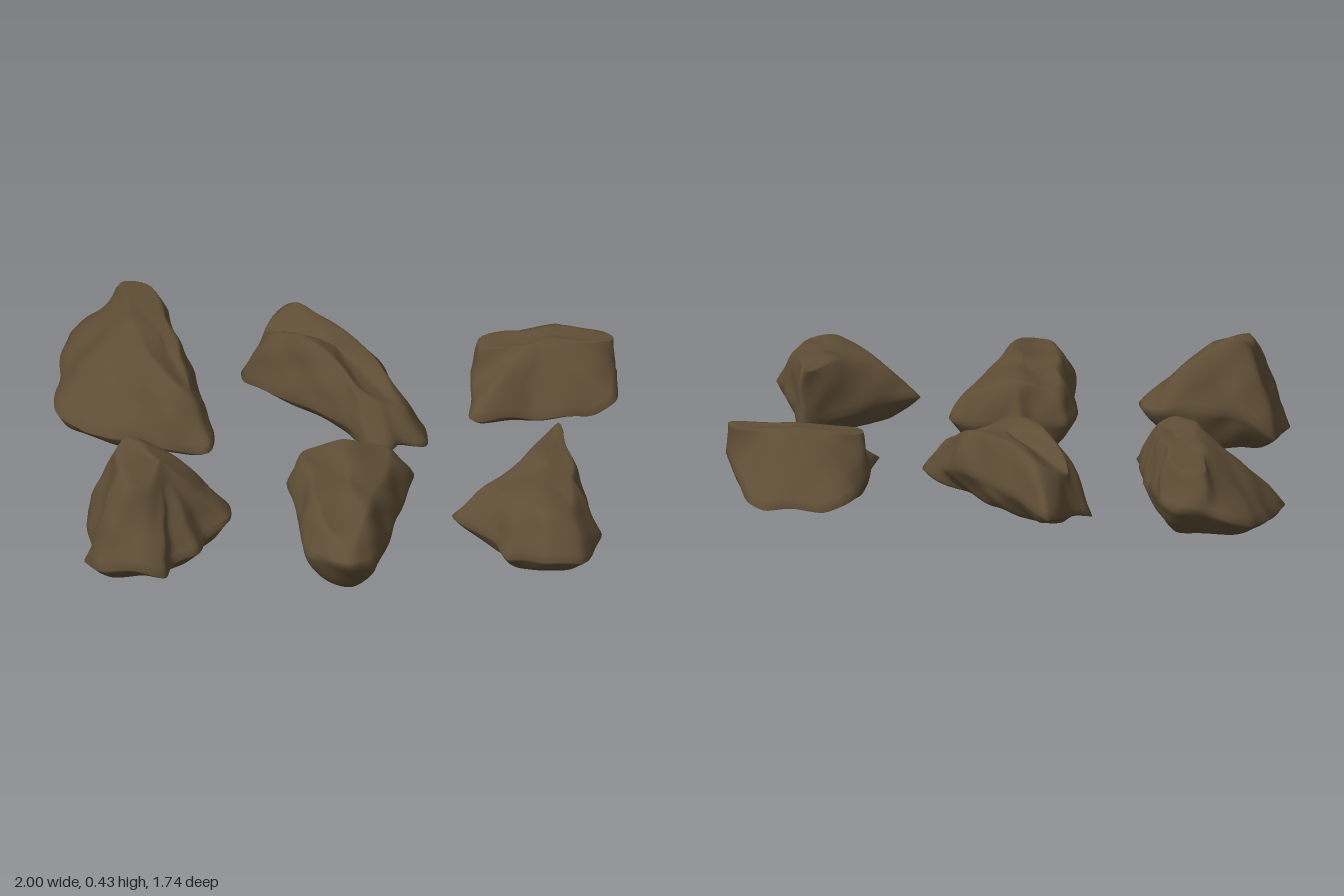
import * as THREE from 'three';

const stone = new THREE.MeshStandardMaterial({ color: 0x5f4e36 });
stone.name = 'brown stone';

const SIDES = 120, SLOPE = 10, CAP = 5;
const vec = ([x, y, z]) => new THREE.Vector3(x, y, z);
const smoothLoop = (points, tension) => new THREE.CatmullRomCurve3(points.map(vec), true, 'catmullrom', tension);

// Middle of a facet loop, pushed halfway out to its most extreme height
function middle(poly, extreme) {
  const c = new THREE.Vector3();
  poly.forEach((p) => c.add(p));
  c.divideScalar(poly.length);
  c.y = (c.y + extreme(...poly.map((p) => p.y))) / 2;
  return c;
}

// Where the ray from the loop's middle towards p (seen from above) meets its edge
function edgeTowards(poly, c, p) {
  const dx = p.x - c.x, dz = p.z - c.z;
  for (let i = 0; i < poly.length; i++) {
    const a = poly[i], b = poly[(i + 1) % poly.length];
    const sa = dx * (a.z - c.z) - dz * (a.x - c.x);
    const sb = dx * (b.z - c.z) - dz * (b.x - c.x);
    if (sa <= 0 && sb > 0) return a.clone().lerp(b, sa / (sa - sb));
  }
  return c.clone();
}

// Weathered lumps: a smooth displacement that depends on position only
function weather(p) {
  const { x, y, z } = p;
  p.x += 0.005 * Math.sin(23 * z + 17 * y) + 0.003 * Math.sin(41 * y - 29 * z);
  p.z += 0.005 * Math.sin(21 * x - 19 * y) + 0.003 * Math.sin(37 * y + 31 * x);
  p.y += 0.006 * Math.sin(19 * x + 13 * z) * Math.sin(17 * z - 11 * x)
       + 0.004 * (Math.abs(Math.sin(15 * x - 9 * z)) - 0.6);
  return p;
}

// Rock: a rim loop that slopes up to a top facet and down to a base facet.
// All loops run clockwise seen from above. roundTop and roundBase: 1 gives
// straight slopes, more gives fuller ones.
function rock(name, rim, topFacet, baseFacet, roundTop, roundBase) {
  const loop = smoothLoop(rim, 0.3).getSpacedPoints(SIDES).slice(0, SIDES);

  // Rings from the rim to the middle of one facet
  function half(facet, round, extreme) {
    const poly = smoothLoop(facet, 0.4).getPoints(48).slice(0, 48);
    const c = middle(poly, extreme);
    const targets = loop.map((p) => edgeTowards(poly, c, p));
    const rings = [];
    for (let i = 0; i <= SLOPE; i++) {
      const s = i / SLOPE, rise = 1 - Math.pow(1 - s, round);
      rings.push(loop.map((p, k) => {
        const q = p.clone().lerp(targets[k], s);
        q.y = p.y + (targets[k].y - p.y) * rise;
        return q;
      }));
    }
    for (let i = 1; i <= CAP; i++) rings.push(targets.map((t) => t.clone().lerp(c, i / CAP)));
    return rings;
  }

  const upper = half(topFacet, roundTop, Math.max).reverse();
  const rings = [...upper, ...half(baseFacet, roundBase, Math.min).slice(1)];
  const pos = rings.flat().flatMap((p) => weather(p).toArray());
  const index = [];
  for (let i = 0; i < rings.length - 1; i++) {
    for (let k = 0; k < SIDES; k++) {
      const a = i * SIDES + k, b = i * SIDES + (k + 1) % SIDES;
      index.push(a, b, a + SIDES, b, b + SIDES, a + SIDES);
    }
  }
  const geo = new THREE.BufferGeometry();
  geo.setAttribute('position', new THREE.Float32BufferAttribute(pos, 3));
  geo.setIndex(index);
  geo.computeVertexNormals();
  const mesh = new THREE.Mesh(geo, stone);
  mesh.name = name;
  return mesh;
}

export function createModel() {
  const group = new THREE.Group();
  group.name = 'rocks';

  // Long slab with a ridge along its inner side
  group.add(rock('backRightRock', [
    [-0.72, 0.2, -0.87], [-0.65, 0.2, -0.86], [-0.58, 0.2, -0.79], [-0.56, 0.19, -0.65],
    [-0.5, 0.17, -0.48], [-0.48, 0.15, -0.3], [-0.44, 0.14, -0.14], [-0.46, 0.12, -0.04],
    [-0.5, 0.11, -0.04], [-0.62, 0.1, -0.08], [-0.72, 0.09, -0.17], [-0.9, 0.07, -0.24],
    [-0.995, 0.08, -0.38], [-0.975, 0.1, -0.6], [-0.93, 0.13, -0.8], [-0.85, 0.17, -0.86],
  ], [[-0.75, 0.33, -0.8], [-0.64, 0.34, -0.76], [-0.58, 0.34, -0.5], [-0.53, 0.3, -0.2],
    [-0.6, 0.33, -0.2], [-0.68, 0.35, -0.36]],
  [[-0.8, 0.06, -0.7], [-0.64, 0.06, -0.66], [-0.58, 0.03, -0.22], [-0.93, 0.015, -0.36]], 1.35, 1.7));

  // Diagonal block with a pointed tail
  group.add(rock('backMiddleRock', [
    [-0.2, 0.15, -0.86], [-0.12, 0.16, -0.78], [-0.02, 0.18, -0.64], [0.1, 0.18, -0.48],
    [0.2, 0.16, -0.36], [0.23, 0.13, -0.27], [0.31, 0.1, -0.2], [0.32, 0.09, -0.1],
    [0.29, 0.09, -0.08], [0.22, 0.1, -0.09], [0.18, 0.1, -0.05], [0.1, 0.11, -0.06],
    [0.05, 0.12, -0.15], [-0.02, 0.14, -0.2], [-0.15, 0.13, -0.33], [-0.32, 0.08, -0.53],
    [-0.33, 0.08, -0.6], [-0.26, 0.1, -0.66], [-0.24, 0.13, -0.75],
  ], [[-0.25, 0.24, -0.62], [-0.14, 0.31, -0.68], [0.05, 0.33, -0.46], [0.16, 0.28, -0.3],
    [0.19, 0.22, -0.19], [0.12, 0.25, -0.17], [-0.01, 0.34, -0.29], [-0.14, 0.355, -0.43]],
  [[-0.22, 0.06, -0.62], [-0.08, 0.07, -0.6], [0.2, 0.05, -0.22], [0.1, 0.05, -0.18],
    [-0.1, 0.06, -0.4]], 1.4, 1.6));

  // Three-sided block lying on its long side
  group.add(rock('backLeftRock', [
    [0.475, 0.14, -0.19], [0.48, 0.17, -0.4], [0.5, 0.13, -0.6], [0.55, 0.11, -0.67],
    [0.63, 0.1, -0.7], [0.82, 0.1, -0.7], [0.9, 0.12, -0.66], [0.93, 0.15, -0.55],
    [0.97, 0.18, -0.46], [0.995, 0.2, -0.36], [0.99, 0.15, -0.25], [0.9, 0.12, -0.22],
    [0.7, 0.12, -0.21], [0.6, 0.13, -0.19],
  ], [[0.52, 0.31, -0.45], [0.75, 0.335, -0.47], [0.93, 0.325, -0.46], [0.98, 0.32, -0.39],
    [0.75, 0.33, -0.39], [0.53, 0.31, -0.37]],
  [[0.55, 0.07, -0.48], [0.85, 0.07, -0.5], [0.93, 0.08, -0.36], [0.56, 0.055, -0.3]], 1.25, 1.9));

  // Tall peaked rock with a jutting shoulder
  group.add(rock('frontRightRock', [
    [-0.91, 0.1, 0.28], [-0.8, 0.17, 0.26], [-0.72, 0.18, 0.28], [-0.5, 0.18, 0.29],
    [-0.41, 0.17, 0.36], [-0.41, 0.16, 0.47], [-0.5, 0.13, 0.53], [-0.52, 0.12, 0.63],
    [-0.61, 0.1, 0.66], [-0.65, 0.1, 0.74], [-0.75, 0.12, 0.73], [-0.88, 0.09, 0.66],
    [-0.93, 0.05, 0.56], [-0.9, 0.07, 0.47],
  ], [[-0.8, 0.425, 0.37], [-0.73, 0.44, 0.35], [-0.6, 0.36, 0.35], [-0.51, 0.27, 0.36],
    [-0.49, 0.24, 0.44], [-0.6, 0.32, 0.48], [-0.69, 0.37, 0.57], [-0.78, 0.385, 0.57]],
  [[-0.82, 0.02, 0.4], [-0.58, 0.03, 0.38], [-0.58, 0.02, 0.5], [-0.82, 0.01, 0.58]], 1.2, 1.6));

  // Tapering block with a flat top
  group.add(rock('frontMiddleRock', [
    [0, 0.15, 0.12], [0.03, 0.15, 0.14], [0.15, 0.16, 0.14], [0.25, 0.16, 0.19],
    [0.22, 0.15, 0.35], [0.17, 0.16, 0.52], [0.13, 0.17, 0.7], [0.09, 0.2, 0.82],
    [0.02, 0.22, 0.865], [-0.06, 0.21, 0.83], [-0.14, 0.18, 0.74], [-0.16, 0.17, 0.6],
    [-0.18, 0.17, 0.35], [-0.2, 0.17, 0.25], [-0.17, 0.16, 0.16], [-0.05, 0.16, 0.16],
  ], [[-0.12, 0.29, 0.23], [0.02, 0.315, 0.2], [0.17, 0.28, 0.21], [0.13, 0.28, 0.4],
    [0.07, 0.3, 0.6], [0.03, 0.29, 0.75], [-0.06, 0.28, 0.73], [-0.1, 0.3, 0.5]],
  [[-0.1, 0.05, 0.24], [0.16, 0.05, 0.24], [0.06, 0.035, 0.68], [-0.08, 0.04, 0.66]], 1.7, 1.7));

  // Steep fin behind, broad front and a side spur
  group.add(rock('frontLeftRock', [
    [0.78, 0.12, 0.11], [0.8, 0.15, 0.2], [0.8, 0.16, 0.25], [0.86, 0.17, 0.38],
    [0.87, 0.16, 0.5], [0.91, 0.15, 0.6], [0.88, 0.14, 0.7], [0.83, 0.15, 0.77],
    [0.7, 0.16, 0.79], [0.63, 0.14, 0.73], [0.57, 0.13, 0.71], [0.53, 0.13, 0.6],
    [0.385, 0.15, 0.48], [0.4, 0.16, 0.45], [0.5, 0.15, 0.38], [0.6, 0.15, 0.29],
    [0.72, 0.14, 0.15],
  ], [[0.76, 0.34, 0.165], [0.785, 0.34, 0.2], [0.81, 0.32, 0.45], [0.79, 0.31, 0.63],
    [0.68, 0.31, 0.64], [0.55, 0.29, 0.47], [0.67, 0.33, 0.31]],
  [[0.72, 0.07, 0.26], [0.78, 0.06, 0.34], [0.8, 0.06, 0.64], [0.64, 0.05, 0.64],
    [0.52, 0.06, 0.48]], 1.5, 1.6));

  return group;
}
